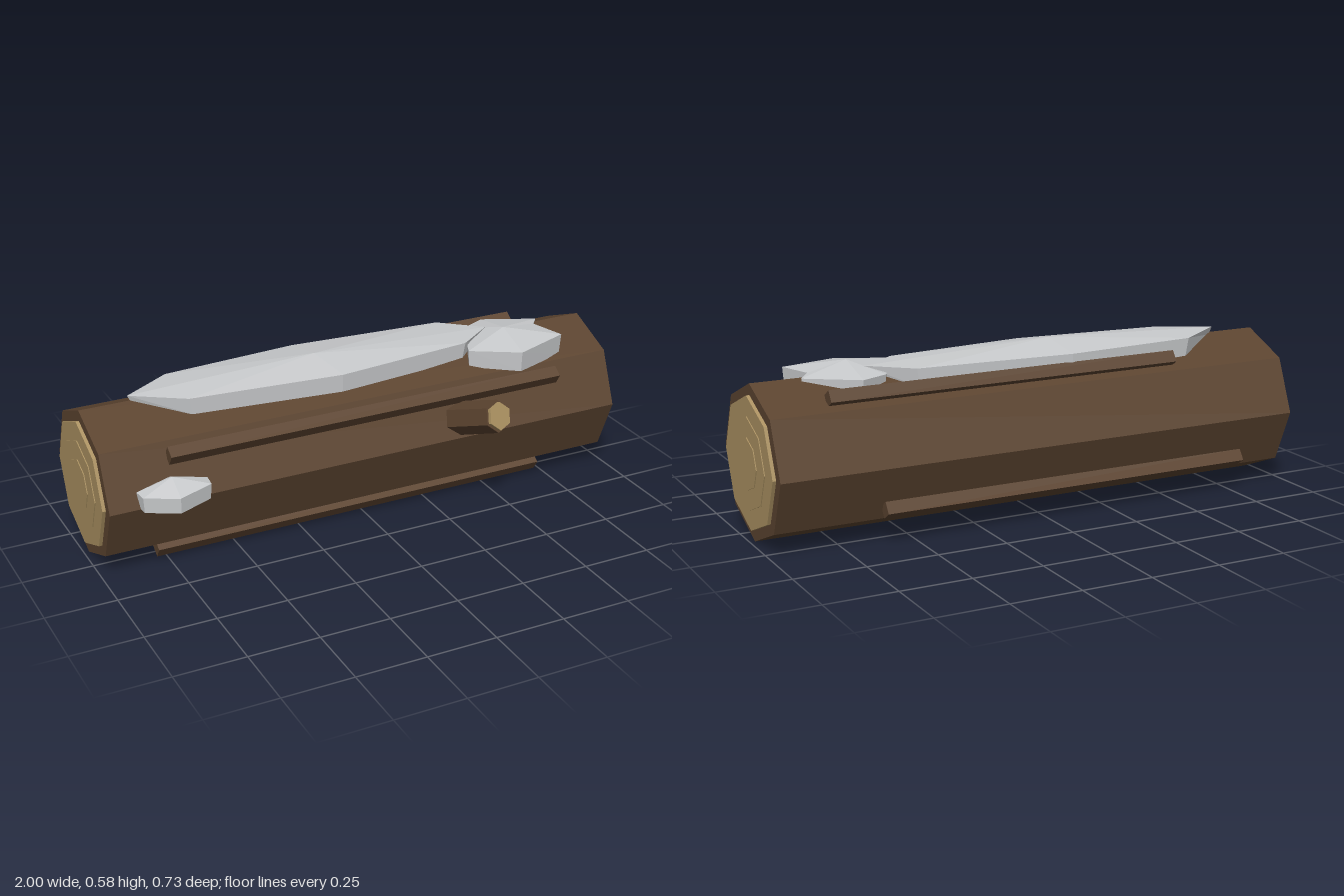
import * as THREE from 'three';

const AXIS_Y = 0.27, AXIS_Z = -0.1;

const flat = (name, color) => {
  const m = new THREE.MeshStandardMaterial({ color, flatShading: true });
  m.name = name;
  return m;
};

// Faceted slab: raised apex, rim outline [x, z, topY, bottomY], inset flat base
function slabGeometry(apex, rim, inset) {
  const pos = [];
  const tri = (...pts) => pts.forEach(p => pos.push(...p));
  const base = [apex[0], Math.min(...rim.map(r => r[3])), apex[2]];
  const top = rim.map(([x, z, t]) => [x, t, z]);
  const low = rim.map(([x, z, , b]) => [
    apex[0] + (x - apex[0]) * inset, b, apex[2] + (z - apex[2]) * inset]);
  rim.forEach((_, i) => {
    const j = (i + 1) % rim.length;
    tri(apex, top[i], top[j]);
    tri(top[i], low[i], low[j]);
    tri(top[i], low[j], top[j]);
    tri(base, low[j], low[i]);
  });
  const g = new THREE.BufferGeometry();
  g.setAttribute('position', new THREE.Float32BufferAttribute(pos, 3));
  g.computeVertexNormals();
  return g;
}

export function createModel() {
  const model = new THREE.Group();
  model.name = 'snowyLog';
  const bark = flat('bark', 0x5c4430);
  const wood = flat('cutWood', 0xac9262);
  const snow = flat('snow', 0xc8cacc);

  const add = (name, geometry, material, parent = model) => {
    const mesh = new THREE.Mesh(geometry, material);
    mesh.name = name;
    parent.add(mesh);
    return mesh;
  };

  // Octagonal prism lying along x
  const logDisc = (name, radius, length, x, material) => {
    const g = new THREE.CylinderGeometry(radius, radius, length, 8);
    g.rotateZ(Math.PI / 2);
    add(name, g, material).position.set(x, AXIS_Y, AXIS_Z);
  };
  logDisc('trunk', 0.269, 1.964, 0, bark);

  // Cut ends with low stepped growth rings
  for (const side of [-1, 1]) {
    const end = side > 0 ? 'left' : 'right';
    logDisc(end + 'CutEnd', 0.23, 0.02, side * 0.984, wood);
    logDisc(end + 'OuterRing', 0.16, 0.02, side * 0.987, wood);
    logDisc(end + 'InnerRing', 0.09, 0.02, side * 0.99, wood);
  }

  // Bark ridges a quarter turn apart: [start x, end x]
  [[-0.755, 0.75], [-0.54, 0.77], [-0.79, 0.61], [-0.79, 0.72]].forEach(([a, b], i) => {
    const angle = 0.59 + i * Math.PI / 2;
    const ridge = add('barkRidge' + (i + 1), new THREE.BoxGeometry(b - a, 0.044, 0.044), bark);
    ridge.position.set((a + b) / 2, AXIS_Y + 0.272 * Math.sin(angle), AXIS_Z + 0.272 * Math.cos(angle));
    ridge.rotation.x = 0.59;
  });

  // Broken branch, pointing forward and up
  const branch = new THREE.Group();
  branch.name = 'branch';
  const tip = new THREE.Vector3(0.388, 0.41, 0.325);
  const dir = new THREE.Vector3(0.05, 0.085, 0.21).normalize();
  branch.position.copy(tip);
  branch.quaternion.setFromUnitVectors(new THREE.Vector3(0, 1, 0), dir);
  model.add(branch);
  add('branchBark', new THREE.CylinderGeometry(0.058, 0.062, 0.3, 6), bark, branch).position.y = -0.15;
  add('branchCutEnd', new THREE.CylinderGeometry(0.05, 0.05, 0.02, 6), wood, branch).position.y = 0.003;

  // Snow lying along the top
  add('topSnow', slabGeometry([-0.12, 0.585, -0.095], [
    [-0.81, -0.1, 0.558, 0.53], [-0.63, 0.01, 0.555, 0.495], [-0.08, 0.06, 0.555, 0.49],
    [0.44, 0, 0.555, 0.49], [0.58, -0.1, 0.555, 0.52], [0.44, -0.22, 0.555, 0.49],
    [-0.13, -0.26, 0.555, 0.475], [-0.63, -0.22, 0.555, 0.49],
  ], 0.98), snow);

  // Small snow clump near the left end
  add('endSnow', slabGeometry([0.62, 0.57, -0.04], [
    [0.43, 0.04, 0.54, 0.475], [0.6, 0.132, 0.537, 0.462], [0.81, 0.06, 0.543, 0.465],
    [0.77, -0.07, 0.545, 0.47], [0.81, -0.12, 0.54, 0.475], [0.63, -0.215, 0.535, 0.48],
    [0.53, -0.17, 0.535, 0.48],
  ], 0.97), snow);

  // Snow clump on the front side
  add('sideSnow', slabGeometry([-0.755, 0.355, 0.15], [
    [-0.88, 0.15, 0.325, 0.27], [-0.875, 0.2, 0.325, 0.27], [-0.76, 0.243, 0.318, 0.262],
    [-0.635, 0.2, 0.325, 0.27], [-0.63, 0.15, 0.325, 0.27], [-0.755, 0.06, 0.325, 0.25],
  ], 0.97), snow);

  return model;
}
